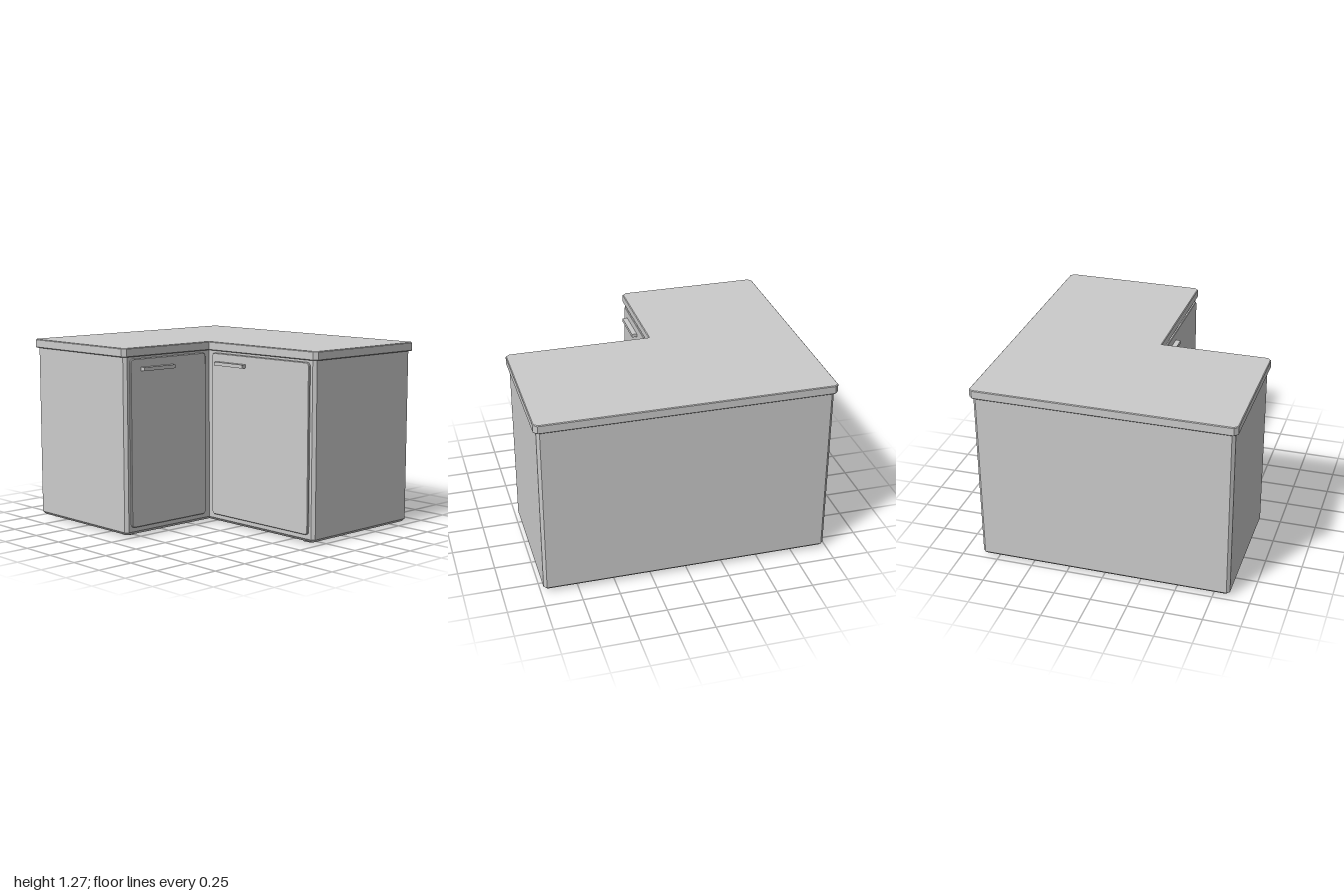
import * as THREE from 'three';

const material = new THREE.MeshStandardMaterial({ color: 0xcccccc });

function addMesh(parent, name, geometry) {
  const mesh = new THREE.Mesh(geometry, material);
  mesh.name = name;
  parent.add(mesh);
  return mesh;
}

// L-shaped slab with chamfered outer corners; the notch opens to +x and +z
function lSlab(x0, x1, xi, z0, z1, zi, y0, y1, chamfer, bevel) {
  const c = chamfer;
  const points = [
    [x0, z1 - c], [x0 + c, z1], [xi - c, z1], [xi, z1 - c],
    [xi, zi],
    [x1 - c, zi], [x1, zi - c], [x1, z0 + c], [x1 - c, z0],
    [x0 + c, z0], [x0, z0 + c],
  ].map(([x, z]) => new THREE.Vector2(x, -z));
  const geometry = new THREE.ExtrudeGeometry(new THREE.Shape(points), {
    depth: y1 - y0 - 2 * bevel,
    bevelThickness: bevel, bevelSize: bevel, bevelOffset: -bevel, bevelSegments: 1,
  });
  return geometry.rotateX(-Math.PI / 2).translate(0, y0 + bevel, 0);
}

// Rounded door panel, centred on x and y, with its outer face at z = 0
function doorPanel(width, height) {
  const r = 0.025, bevel = 0.004, w = width / 2, h = height / 2;
  const shape = new THREE.Shape();
  shape.moveTo(-w + r, -h);
  shape.lineTo(w - r, -h);
  shape.absarc(w - r, -h + r, r, -Math.PI / 2, 0);
  shape.absarc(w - r, h - r, r, 0, Math.PI / 2);
  shape.absarc(-w + r, h - r, r, Math.PI / 2, Math.PI);
  shape.absarc(-w + r, -h + r, r, Math.PI, Math.PI * 1.5);
  const geometry = new THREE.ExtrudeGeometry(shape, {
    depth: 0.02, curveSegments: 4,
    bevelThickness: bevel, bevelSize: bevel, bevelOffset: -bevel, bevelSegments: 1,
  });
  return geometry.translate(0, 0, -0.02 - bevel);
}

// Door with its bar handle; handleX is measured from the door centre
function makeDoor(name, width, handleX) {
  const door = new THREE.Group();
  door.name = name;
  addMesh(door, 'doorPanel', doorPanel(width, 1.135));
  addMesh(door, 'handle', new THREE.BoxGeometry(0.275, 0.024, 0.04))
    .position.set(handleX, 0.498, 0.015);
  return door;
}

export function createModel() {
  const model = new THREE.Group();
  model.name = 'cornerCabinet';

  // Carcass and overhanging worktop
  addMesh(model, 'cabinetBody', lSlab(-0.98, 0.98, -0.015, -0.86, 0.86, 0.105, 0.015, 1.235, 0.02, 0.02));
  addMesh(model, 'worktop', lSlab(-1, 1, 0, -0.88, 0.88, 0.12, 1.215, 1.275, 0.025, 0.005));

  // One door on each inner face of the L
  const frontDoor = makeDoor('frontDoor', 0.91, -0.26);
  frontDoor.position.set(0.485, 0.6325, 0.12);
  const sideDoor = makeDoor('sideDoor', 0.67, -0.11);
  sideDoor.position.set(-0.002, 0.6325, 0.485);
  sideDoor.rotation.y = Math.PI / 2;
  model.add(frontDoor, sideDoor);

  // Short round feet
  const feet = [
    [-0.88, 0.76], [-0.12, 0.76], [-0.88, 0.015], [0.87, 0.015],
    [-0.88, -0.74], [-0.12, -0.74], [0.87, -0.74],
  ];
  for (const [x, z] of feet) {
    addMesh(model, 'foot', new THREE.CylinderGeometry(0.05, 0.045, 0.02, 20)).position.set(x, 0.01, z);
  }
  return model;
}
